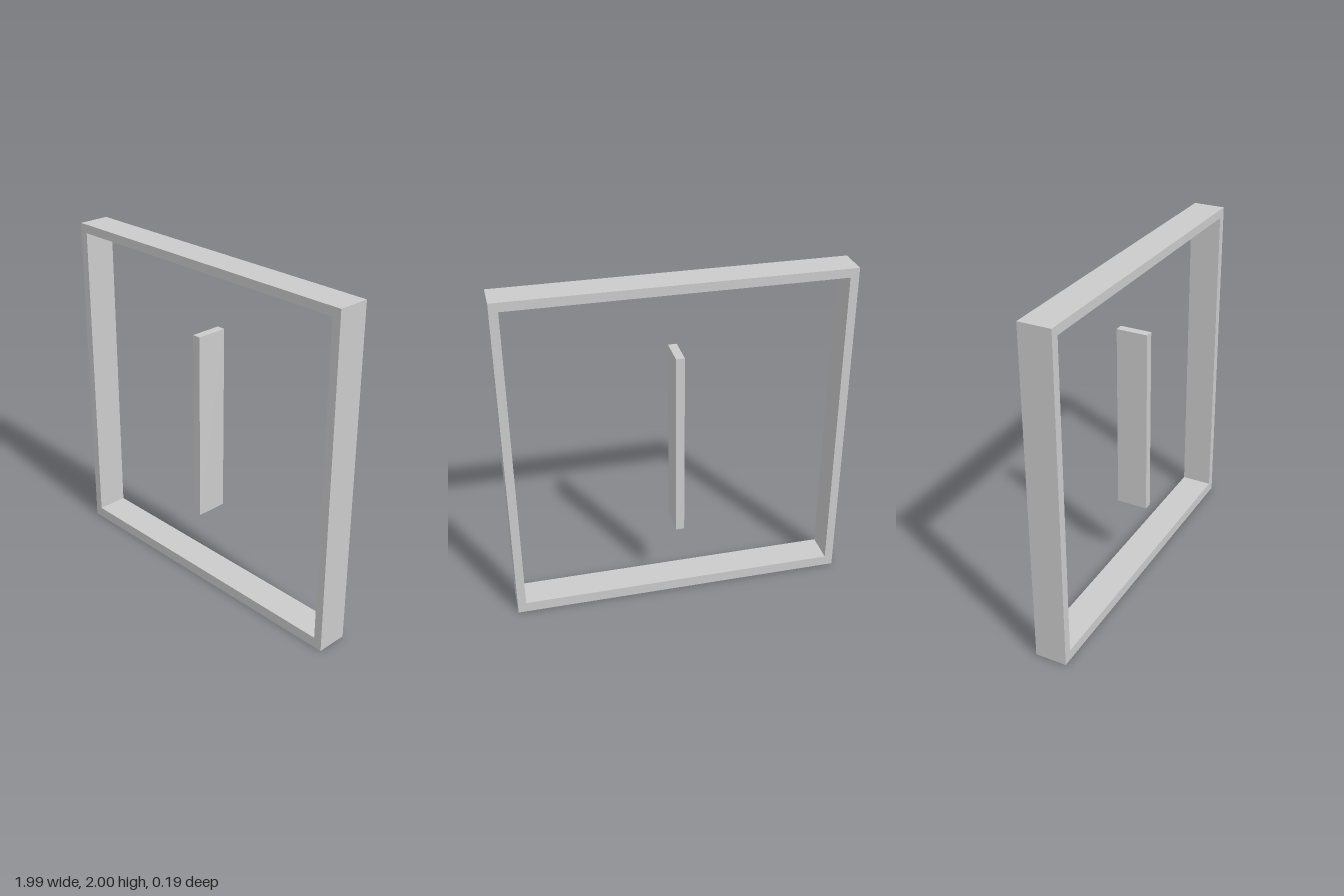
import * as THREE from 'three';

const DEPTH = 0.188;

export function createModel() {
  const model = new THREE.Group();
  const material = new THREE.MeshStandardMaterial({ color: 0xcccccc, flatShading: true });

  // Closed rectangle given by its left, bottom, right and top edges
  const rectangle = (Type, x0, y0, x1, y1) => new Type([
    new THREE.Vector2(x0, y0), new THREE.Vector2(x1, y0),
    new THREE.Vector2(x1, y1), new THREE.Vector2(x0, y1),
  ]);

  // Square frame with a slightly thicker bottom rail
  const outline = rectangle(THREE.Shape, -0.995, 0, 0.995, 2);
  outline.holes.push(rectangle(THREE.Path, -0.945, 0.063, 0.945, 1.948));
  const frameGeometry = new THREE.ExtrudeGeometry(outline, { depth: DEPTH, bevelEnabled: false });
  frameGeometry.translate(0, 0, -DEPTH / 2);
  const frame = new THREE.Mesh(frameGeometry, material);
  frame.name = 'frame';
  model.add(frame);

  // Free-standing upright bar in the middle of the opening
  const bar = new THREE.Mesh(new THREE.BoxGeometry(0.05, 1.13, DEPTH), material);
  bar.name = 'centreBar';
  bar.position.y = 1.008;
  model.add(bar);

  return model;
}
